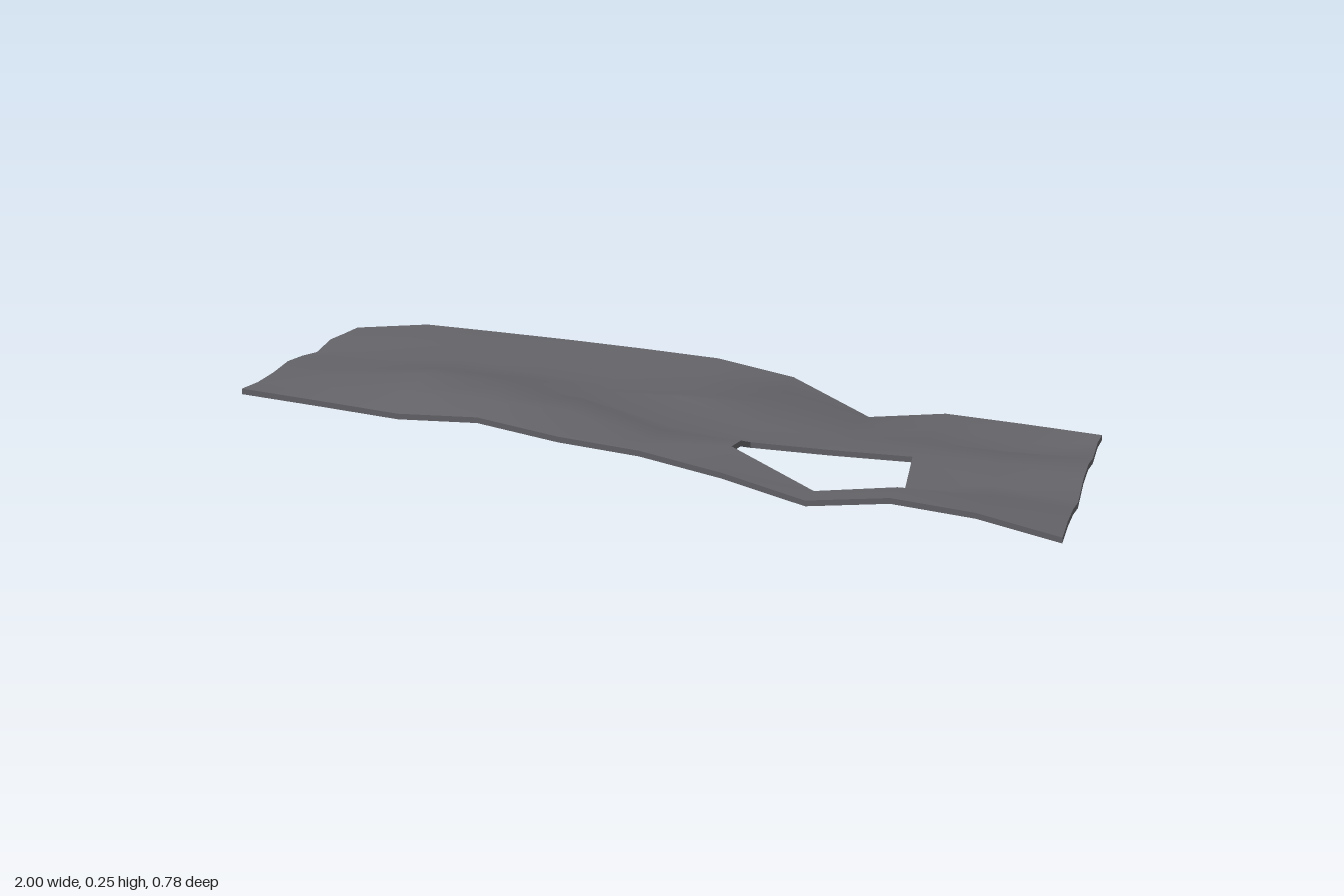
import * as THREE from 'three';

// Height profiles (thousandths) of the sheet, left end to right end;
// each runs from the front edge to the back edge.
const PROFILES = [
  [235, 226, 225, 230, 220, 205, 215, 207, 200],
  [218, 225, 235, 225, 215, 220, 222, 222, 221],
  [200, 230, 250, 240, 215, 210, 215, 220, 213],
  [205, 220, 235, 220, 200, 190, 200, 200, 204],
  [172, 210, 215, 165, 180, 170, 180, 190, 193],
  [152, 150, 150, 130, 180, 160, 165, 160, 180],
  [113, 150, 137, 105, 120, 150, 145, 133, 143],
  [61, 55, 50, 100, 100, 90, 75, 65, 50],
  [83, 80, 45, 98, 95, 80, 88, 95, 73],
  [63, 60, 45, 40, 68, 70, 23, 35, 60],
  [20, 30, 28, 15, 45, 53, 40, 53, 45],
];
const NX = PROFILES.length - 1;
const NZ = PROFILES[0].length - 1;
const THICKNESS = 0.014;

// True where the sheet has material; the rectangular hole spans 2 x 2 cells.
function solid(i, j) {
  const inside = i >= 0 && i < NX && j >= 0 && j < NZ;
  const hole = (i === 6 || i === 7) && (j === 1 || j === 2);
  return inside && !hole;
}

function point(i, j, drop) {
  const y = Math.max(0, PROFILES[i][j] / 1000 - drop);
  return [-1 + (2 * i) / NX, y, 0.39 - (0.78 * j) / NZ];
}

function makeGeometry(positions, index) {
  const geometry = new THREE.BufferGeometry();
  geometry.setAttribute('position', new THREE.Float32BufferAttribute(positions, 3));
  geometry.setIndex(index);
  geometry.computeVertexNormals();
  return geometry;
}

// Smooth wavy face, facing up or down
function makeFace(drop, faceDown) {
  const positions = [];
  const index = [];
  for (let i = 0; i <= NX; i++) {
    for (let j = 0; j <= NZ; j++) positions.push(...point(i, j, drop));
  }
  const id = (i, j) => i * (NZ + 1) + j;
  for (let i = 0; i < NX; i++) {
    for (let j = 0; j < NZ; j++) {
      if (!solid(i, j)) continue;
      const a = id(i, j), b = id(i + 1, j), c = id(i + 1, j + 1), d = id(i, j + 1);
      if (faceDown) index.push(a, c, b, a, d, c);
      else index.push(a, b, c, a, c, d);
    }
  }
  return makeGeometry(positions, index);
}

// Thin walls around the outline and the hole
function makeRim() {
  const positions = [];
  const index = [];
  const sides = [
    { next: [0, -1], from: [0, 0], to: [1, 0] },
    { next: [1, 0], from: [1, 0], to: [1, 1] },
    { next: [0, 1], from: [1, 1], to: [0, 1] },
    { next: [-1, 0], from: [0, 1], to: [0, 0] },
  ];
  for (let i = 0; i < NX; i++) {
    for (let j = 0; j < NZ; j++) {
      if (!solid(i, j)) continue;
      for (const { next, from, to } of sides) {
        if (solid(i + next[0], j + next[1])) continue;
        const n = positions.length / 3;
        const p = [i + from[0], j + from[1]];
        const q = [i + to[0], j + to[1]];
        positions.push(...point(...p, 0), ...point(...p, THICKNESS),
          ...point(...q, THICKNESS), ...point(...q, 0));
        index.push(n, n + 1, n + 2, n, n + 2, n + 3);
      }
    }
  }
  return makeGeometry(positions, index);
}

export function createModel() {
  const group = new THREE.Group();
  group.name = 'wavySheet';
  const darkGrey = new THREE.MeshStandardMaterial({ color: 0x656469 });
  darkGrey.name = 'darkGrey';

  const add = (name, geometry) => {
    const mesh = new THREE.Mesh(geometry, darkGrey);
    mesh.name = name;
    group.add(mesh);
  };
  add('topFace', makeFace(0, false));
  add('bottomFace', makeFace(THICKNESS, true));
  add('rim', makeRim());
  return group;
}
